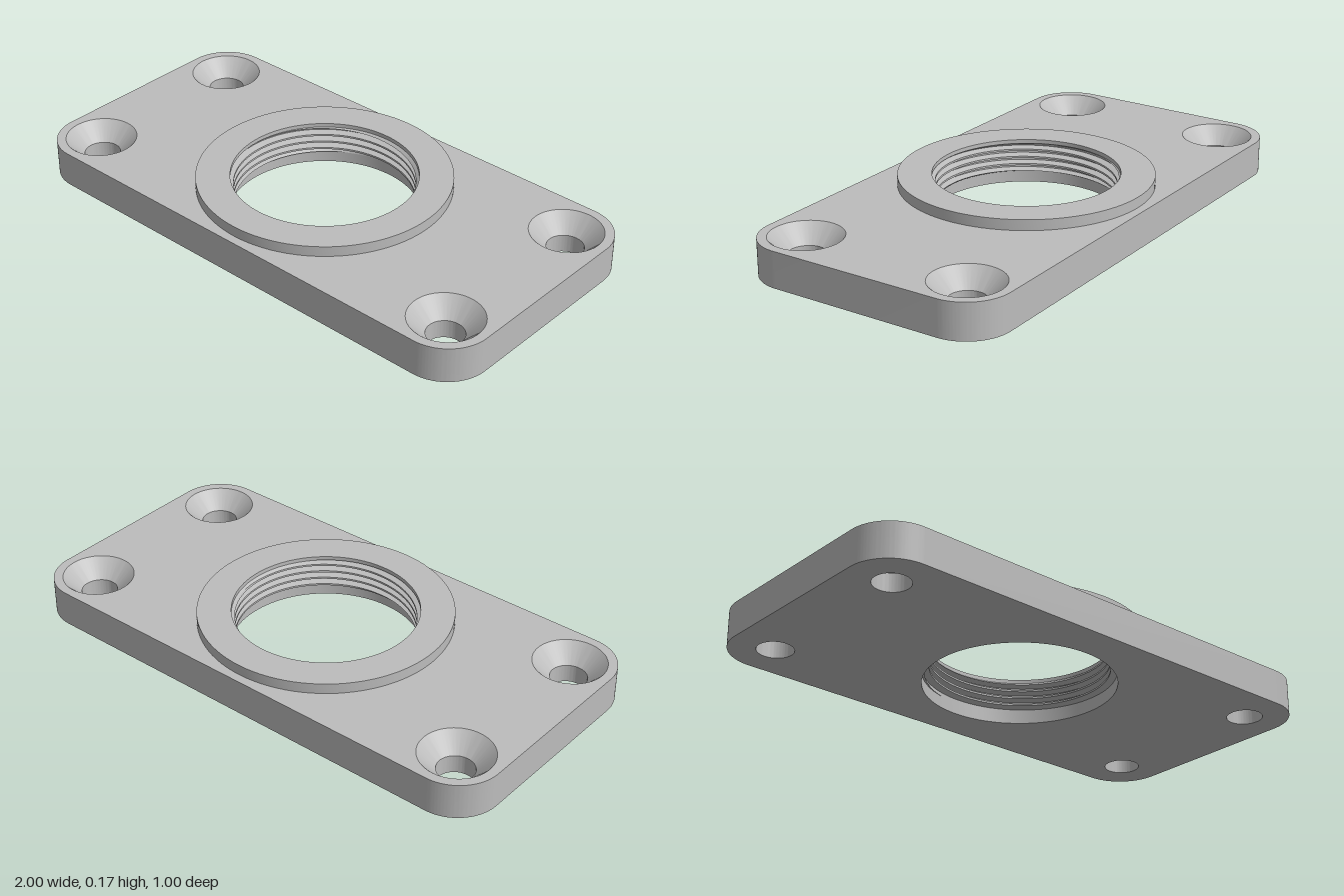
import * as THREE from 'three';
import { toCreasedNormals } from 'three/addons/utils/BufferGeometryUtils.js';

const SEG = 96;
const PLATE_H = 0.135, TOP = 0.175;
const COLLAR_R = 0.467, BORE_R = 0.342;
const ROOT_R = 0.355, CREST_R = 0.33;
const THREAD_LOW = 0.045, THREAD_HIGH = 0.16, PITCH = 0.029;
const HOLE_X = 0.833, HOLE_Z = 0.333, HEAD_R = 0.133, HOLE_R = 0.067;

// Rounded rectangle with screw holes and a central opening
function plateShape(screwR, centreR) {
  const s = new THREE.Shape();
  const r = 0.167, x = 1 - r, y = 0.5 - r, q = Math.PI / 2;
  s.absarc(x, y, r, 0, q);
  s.absarc(-x, y, r, q, 2 * q);
  s.absarc(-x, -y, r, 2 * q, 3 * q);
  s.absarc(x, -y, r, 3 * q, 4 * q);
  s.closePath();
  const hole = (hx, hy, hr) => {
    const p = new THREE.Path();
    p.absarc(hx, hy, hr, 0, Math.PI * 2, true);
    s.holes.push(p);
  };
  hole(0, 0, centreR);
  for (const sx of [-1, 1]) for (const sy of [-1, 1]) hole(sx * HOLE_X, sy * HOLE_Z, screwR);
  return s;
}

// Skin between successive rows of points
function loft(rows) {
  const n = rows[0].length, pos = [], index = [];
  for (const row of rows) for (const p of row) pos.push(p.x, p.y, p.z);
  for (let j = 0; j < rows.length - 1; j++) {
    for (let i = 0; i < n - 1; i++) {
      const a = j * n + i, b = a + 1, d = a + n, c = d + 1;
      index.push(a, b, c, a, c, d);
    }
  }
  const g = new THREE.BufferGeometry();
  g.setAttribute('position', new THREE.Float32BufferAttribute(pos, 3));
  g.setIndex(index);
  return toCreasedNormals(g, 0.45);
}

function lathe(profile) {
  const pts = profile.map(([r, y]) => new THREE.Vector2(r, y));
  return toCreasedNormals(new THREE.LatheGeometry(pts, SEG), 0.45);
}

// Internal screw thread: a helical profile that fades out at both ends
function threadGeometry() {
  const profile = [ROOT_R, CREST_R, CREST_R, ROOT_R];
  const steps = Math.ceil(((THREAD_HIGH - THREAD_LOW) / PITCH + 1) * profile.length);
  const rows = [];
  for (let j = 0; j <= steps; j++) {
    const row = [];
    for (let i = 0; i <= SEG; i++) {
      const t = i / SEG, a = t * Math.PI * 2;
      const raw = THREAD_HIGH + PITCH * (t - j / profile.length);
      const y = THREE.MathUtils.clamp(raw, THREAD_LOW, THREAD_HIGH);
      const up = THREAD_HIGH - y, down = y - THREAD_LOW;
      const fade = Math.min(1, Math.min(up, down) / 0.008);
      const r = THREE.MathUtils.lerp(up < down ? BORE_R : ROOT_R, profile[j % profile.length], fade);
      row.push(new THREE.Vector3(r * Math.cos(a), y, -r * Math.sin(a)));
    }
    rows.push(row);
  }
  return loft(rows);
}

export function createModel() {
  const model = new THREE.Group();
  model.name = 'threadedMountingFlange';
  const metal = new THREE.MeshStandardMaterial({ color: 0xbcbcbc });
  metal.name = 'grey metal';
  const add = (name, geometry) => {
    const mesh = new THREE.Mesh(geometry, metal);
    mesh.name = name;
    model.add(mesh);
    return mesh;
  };

  // Plate faces
  const topShape = plateShape(HEAD_R, COLLAR_R);
  const topFace = new THREE.ShapeGeometry(topShape, SEG / 2);
  topFace.rotateX(-Math.PI / 2).translate(0, PLATE_H, 0);
  add('plateTop', topFace);
  const bottomFace = new THREE.ShapeGeometry(plateShape(HOLE_R, ROOT_R), SEG / 2);
  add('plateBottom', bottomFace.rotateX(Math.PI / 2));

  // Plate rim
  const outline = topShape.getPoints(SEG / 4);
  outline.push(outline[0]);
  add('plateRim', loft([0, PLATE_H].map((y) => outline.map((p) => new THREE.Vector3(p.x, y, -p.y)))));

  // Raised collar and the plain mouth of the bore
  add('collar', lathe([[COLLAR_R, PLATE_H], [COLLAR_R, TOP], [BORE_R, TOP], [BORE_R, THREAD_HIGH]]));
  add('thread', threadGeometry());
  add('boreRelief', lathe([[ROOT_R, THREAD_LOW], [ROOT_R, 0]]));

  // Countersunk screw holes
  const sink = lathe([[HEAD_R, PLATE_H], [HOLE_R, PLATE_H - HEAD_R + HOLE_R], [HOLE_R, 0]]);
  for (const sx of [-1, 1]) {
    for (const sz of [-1, 1]) {
      const name = (sz > 0 ? 'front' : 'back') + (sx > 0 ? 'Left' : 'Right') + 'ScrewHole';
      add(name, sink).position.set(sx * HOLE_X, 0, sz * HOLE_Z);
    }
  }
  return model;
}
